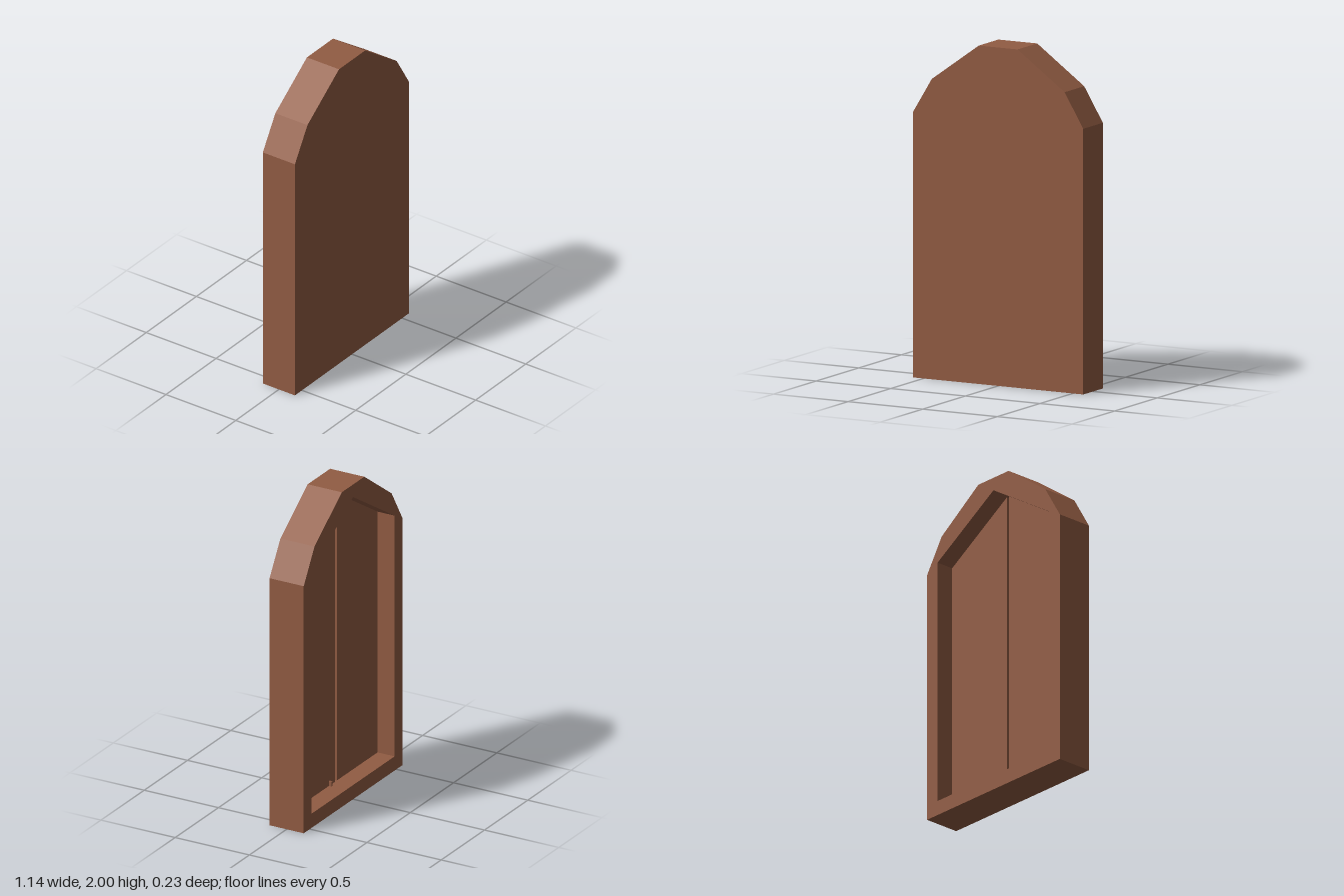
import * as THREE from 'three';

// Closed shape from the +x half of a symmetric outline, listed bottom to top
function mirrored(half, Type = THREE.Shape) {
  const left = half.filter(([x]) => x > 0).reverse().map(([x, y]) => [-x, y]);
  return new Type([...half, ...left].map(([x, y]) => new THREE.Vector2(x, y)));
}

export function createModel() {
  const group = new THREE.Group();
  group.name = 'archedDoor';
  const wood = new THREE.MeshStandardMaterial({ color: 0x925c43 });
  wood.name = 'brown wood';

  // Extrude a shape between two depths
  const add = (name, shape, z0, z1) => {
    const geometry = new THREE.ExtrudeGeometry(shape, { depth: z1 - z0, bevelEnabled: false });
    const mesh = new THREE.Mesh(geometry, wood);
    mesh.name = name;
    mesh.position.z = z0;
    group.add(mesh);
  };

  const outline = [[0.57, 0], [0.57, 1.57], [0.445, 1.775], [0.13, 2]];
  const opening = [[0.48, 0.09], [0.48, 1.62], [0, 1.92]];
  const back = -0.115, floor = 0, grooveBottom = 0.025, front = 0.115;

  // Solid front slab
  add('frontSlab', mirrored(outline), grooveBottom, front);

  // Surround with the pointed recess on the back
  const frame = mirrored(outline);
  frame.holes.push(mirrored(opening, THREE.Path));
  add('backFrame', frame, back, grooveBottom);

  // Two leaves on the recess floor, with a narrow groove between them
  const gap = 0.01;
  for (const s of [1, -1]) {
    const leaf = new THREE.Shape([
      [gap, 0.09], [0.48, 0.09], [0.48, 1.62], [gap, 1.914],
    ].map(([x, y]) => new THREE.Vector2(s * x, y)));
    add(s > 0 ? 'leftLeaf' : 'rightLeaf', leaf, floor, grooveBottom);
  }

  // Tiny stop at the foot of the left leaf
  const stop = new THREE.Mesh(new THREE.BoxGeometry(0.01, 0.03, 0.02), wood);
  stop.name = 'doorStop';
  stop.position.set(0.077, 0.105, floor - 0.008);
  group.add(stop);

  return group;
}
